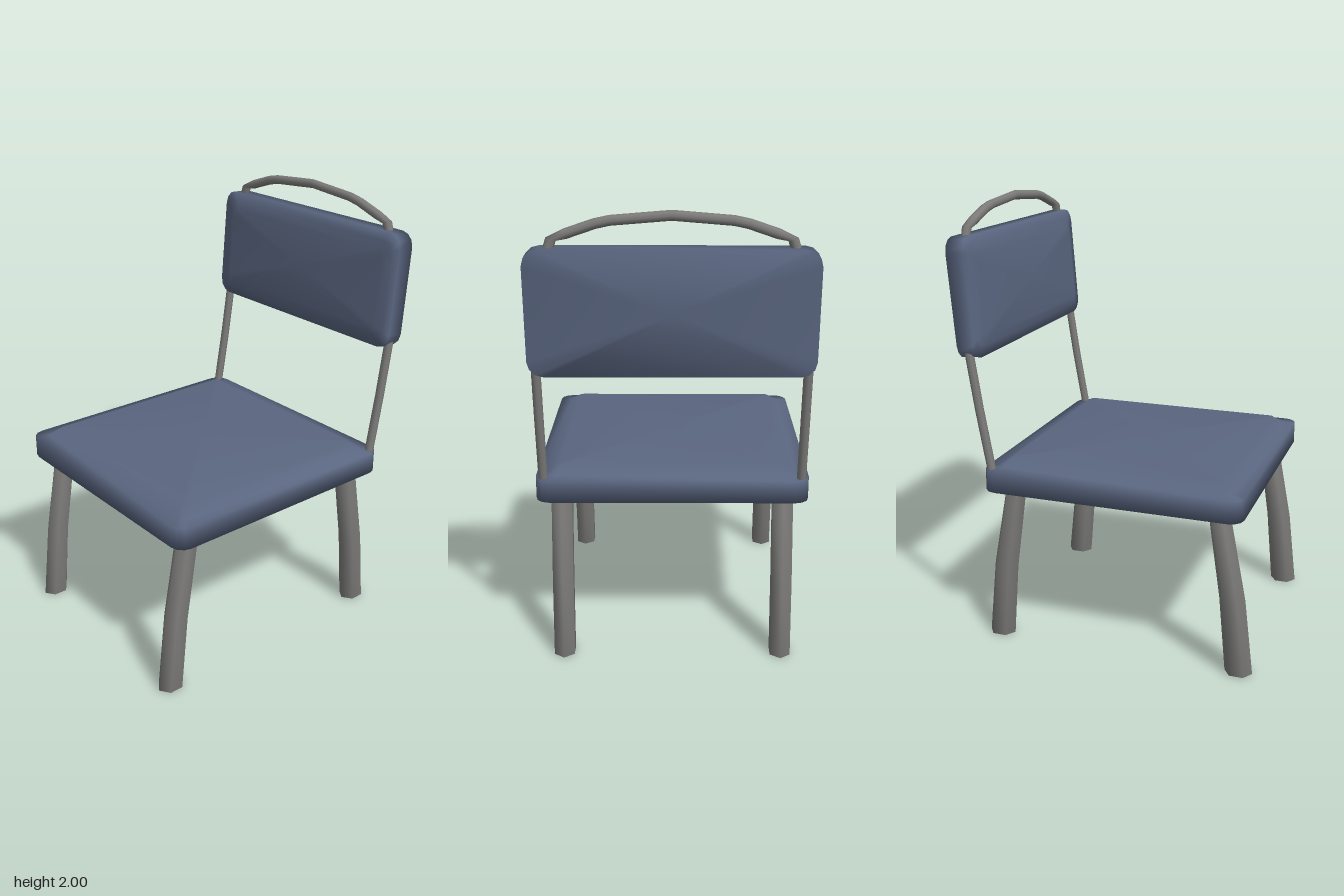
import * as THREE from 'three';

// Skin stacked rings (counter-clockwise seen from +y, listed bottom to top) and cap both ends.
function loft(rings) {
  const n = rings[0].length;
  const pos = rings.flat(2);
  const index = [];
  for (let i = 0; i < rings.length - 1; i++) {
    for (let j = 0; j < n; j++) {
      const a = i * n + j, b = i * n + (j + 1) % n;
      index.push(a, b, a + n, b, b + n, a + n);
    }
  }
  for (const end of [0, rings.length - 1]) {
    const centre = pos.length / 3;
    for (let k = 0; k < 3; k++) pos.push(rings[end].reduce((s, p) => s + p[k], 0) / n);
    for (let j = 0; j < n; j++) {
      const a = end * n + j, b = end * n + (j + 1) % n;
      if (end === 0) index.push(centre, b, a);
      else index.push(centre, a, b);
    }
  }
  const g = new THREE.BufferGeometry();
  g.setAttribute('position', new THREE.Float32BufferAttribute(pos, 3));
  g.setIndex(index);
  g.computeVertexNormals();
  return g;
}

// Rounded rectangle ring at height y.
function roundRect(hw, hd, r, y) {
  const ring = [];
  [[1, -1], [-1, -1], [-1, 1], [1, 1]].forEach(([sx, sz], q) => {
    for (let k = 0; k <= 3; k++) {
      const t = (q + k / 3) * Math.PI / 2;
      ring.push([sx * (hw - r) + r * Math.cos(t), y, sz * (hd - r) - r * Math.sin(t)]);
    }
  });
  return ring;
}

// Six-sided leg ring.
function legRing(y, z, rx, rz) {
  return Array.from({ length: 6 }, (_, k) => {
    const t = Math.PI / 6 + k * Math.PI / 3;
    return [rx * Math.cos(t) / 0.866, y, z - rz * Math.sin(t)];
  });
}

// Bent rod with straight runs between its points.
function rod(points, radius, segments) {
  const curve = new THREE.CatmullRomCurve3(points.map(p => new THREE.Vector3(...p)), false, 'catmullrom', 0);
  return new THREE.TubeGeometry(curve, segments, radius, 8, false);
}

export function createModel() {
  const model = new THREE.Group();
  model.name = 'chair';
  const blue = new THREE.MeshStandardMaterial({ color: 0x5a6680 });
  blue.name = 'slate blue upholstery';
  const metal = new THREE.MeshStandardMaterial({ color: 0x7c7b7a });
  metal.name = 'grey metal';

  const add = (name, geometry, material, x = 0, y = 0, z = 0) => {
    const mesh = new THREE.Mesh(geometry, material);
    mesh.name = name;
    mesh.position.set(x, y, z);
    model.add(mesh);
    return mesh;
  };

  // Seat slab with a raised, bevelled cushion
  add('seat', loft([
    roundRect(0.59, 0.59, 0.06, 0.74),
    roundRect(0.59, 0.59, 0.06, 0.84),
    roundRect(0.535, 0.535, 0.03, 0.845),
    roundRect(0.49, 0.49, 0.02, 0.88),
  ]), blue, 0, 0, 0.04);

  // Backrest panel, leaning back, with a shallow cushion on its front
  const back = add('backrest', loft([
    roundRect(0.585, 0.262, 0.065, -0.04),
    roundRect(0.585, 0.262, 0.065, 0.04),
    roundRect(0.54, 0.217, 0.04, 0.043),
    roundRect(0.5, 0.178, 0.03, 0.062),
  ]), blue, 0, 1.595, -0.615);
  back.rotation.x = Math.PI / 2 - 0.075;

  // Curved legs, splayed forwards and backwards
  const frontLeg = loft([
    legRing(0, 0.613, 0.045, 0.0625),
    legRing(0.35, 0.577, 0.045, 0.058),
    legRing(0.76, 0.508, 0.045, 0.048),
  ]);
  const backLeg = loft([
    legRing(0, -0.528, 0.045, 0.0625),
    legRing(0.35, -0.495, 0.045, 0.058),
    legRing(0.76, -0.427, 0.045, 0.048),
  ]);

  // Thin posts carrying the backrest
  const post = rod([[0, 0.8, -0.508], [0, 1.1, -0.56], [0, 1.42, -0.607]], 0.02, 4);

  for (const [side, s] of [['left', 1], ['right', -1]]) {
    add(side + 'FrontLeg', frontLeg, metal, s * 0.485);
    add(side + 'BackLeg', backLeg, metal, s * 0.485);
    add(side + 'BackPost', post, metal, s * 0.555);
  }

  // Arched handle above the backrest
  add('handle', rod([
    [-0.49, 1.83, 0], [-0.47, 1.89, 0], [-0.27, 1.958, 0], [0, 1.98, 0],
    [0.27, 1.958, 0], [0.47, 1.89, 0], [0.49, 1.83, 0],
  ], 0.021, 18), metal, 0, 0, -0.625);

  return model;
}
